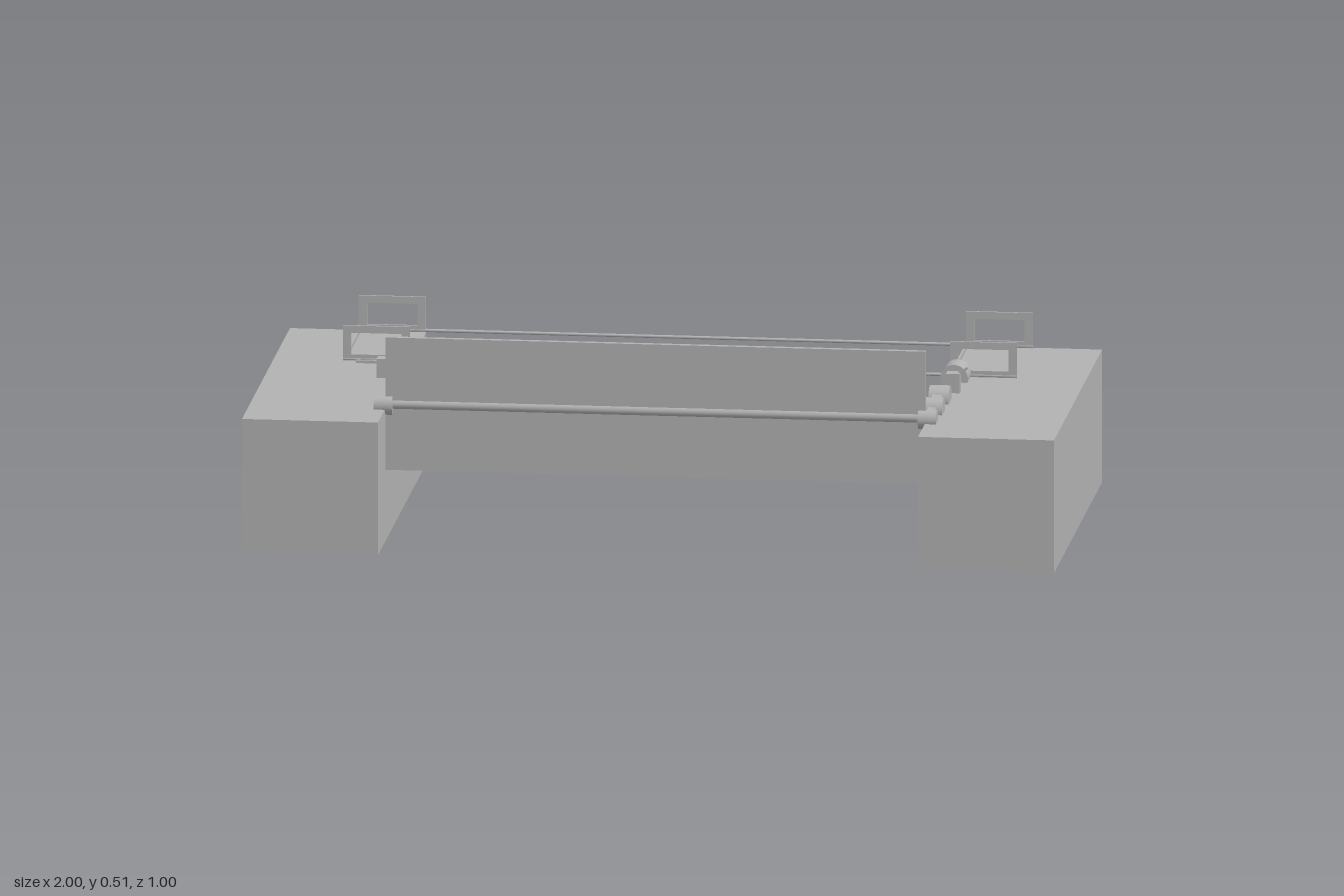
import * as THREE from 'three';

export function createModel() {
  const group = new THREE.Group();
  const grey = new THREE.MeshStandardMaterial({ color: 0xb2b2b2 });
  grey.name = 'plain grey';

  const add = (name, geometry, x, y, z) => {
    const mesh = new THREE.Mesh(geometry, grey);
    mesh.name = name;
    mesh.position.set(x, y, z);
    group.add(mesh);
    return mesh;
  };
  const box = (name, w, h, d, x, y, z) => add(name, new THREE.BoxGeometry(w, h, d), x, y, z);
  // Cylinder lying along x or z
  const cyl = (name, axis, r, length, x, y, z) => {
    const g = new THREE.CylinderGeometry(r, r, length, 32);
    if (axis === 'x') g.rotateZ(Math.PI / 2);
    else g.rotateX(Math.PI / 2);
    return add(name, g, x, y, z);
  };

  const top = 0.333, axleY = 0.34, axleZ = 0.337, inner = 0.665;

  // Two banks, with an upright frame at the front and back of each rail set
  const frame = new THREE.Shape();
  frame.moveTo(-0.0825, 0).lineTo(0.0825, 0).lineTo(0.0825, 0.088).lineTo(-0.0825, 0.088).closePath();
  const opening = new THREE.Path();
  opening.moveTo(-0.062, 0.016).lineTo(-0.062, 0.07).lineTo(0.062, 0.07).lineTo(0.062, 0.016).closePath();
  frame.holes.push(opening);
  const frameGeometry = new THREE.ExtrudeGeometry(frame, { depth: 0.006, bevelEnabled: false });
  for (const side of [-1, 1]) {
    box('bank', 1 - inner, top, 1, side * (1 + inner) / 2, top / 2, 0);
    for (const z of [-0.17, -0.5]) add('uprightFrame', frameGeometry, side * 0.7475, top, z);
    cyl('axleHub', 'x', 0.024, 0.045, side * 0.67, axleY, axleZ);
  }

  // Long rods across the gap and the short rails joining them
  for (const z of [-0.167, -0.497]) cyl('crossRod', 'x', 0.004, 1.66, 0, 0.337, z);
  for (const x of [-0.826, 0.668]) box('sideRail', 0.006, 0.009, 0.33, x, 0.3375, -0.332);

  // Swinging panel on its axle
  box('panel', inner * 2, 0.332, 0.014, 0, 0.345, axleZ);
  cyl('axle', 'x', 0.0125, inner * 2, 0, 0.343, axleZ);

  // Rollers along the left bank: z, radius, width, centre x
  for (const [z, r, w] of [
    [0.28, 0.017, 0.02], [0.23, 0.03, 0.046], [0.165, 0.022, 0.026],
    [0.11, 0.033, 0.05], [0.053, 0.021, 0.026],
  ]) cyl('roller', 'x', r, w, 0.673, axleY, z);
  // Rollers along the right bank
  cyl('roller', 'x', 0.032, 0.03, -0.675, 0.333, -0.047);
  cyl('roller', 'x', 0.02, 0.02, -0.675, axleY, -0.105);

  // Drums against the front frames
  cyl('drum', 'z', 0.034, 0.066, 0.683, 0.343, -0.133);
  cyl('drum', 'z', 0.034, 0.03, -0.688, 0.343, -0.152);

  // Switch boxes with levers
  box('switchBox', 0.034, 0.048, 0.032, 0.693, 0.357, 0);
  box('switchBox', 0.034, 0.048, 0.032, -0.709, 0.357, 0);
  const leverLeft = box('lever', 0.05, 0.006, 0.006, 0.708, 0.38, 0.002);
  leverLeft.rotation.z = 0.6;
  box('lever', 0.06, 0.007, 0.007, -0.747, 0.37, 0.002);

  return group;
}
